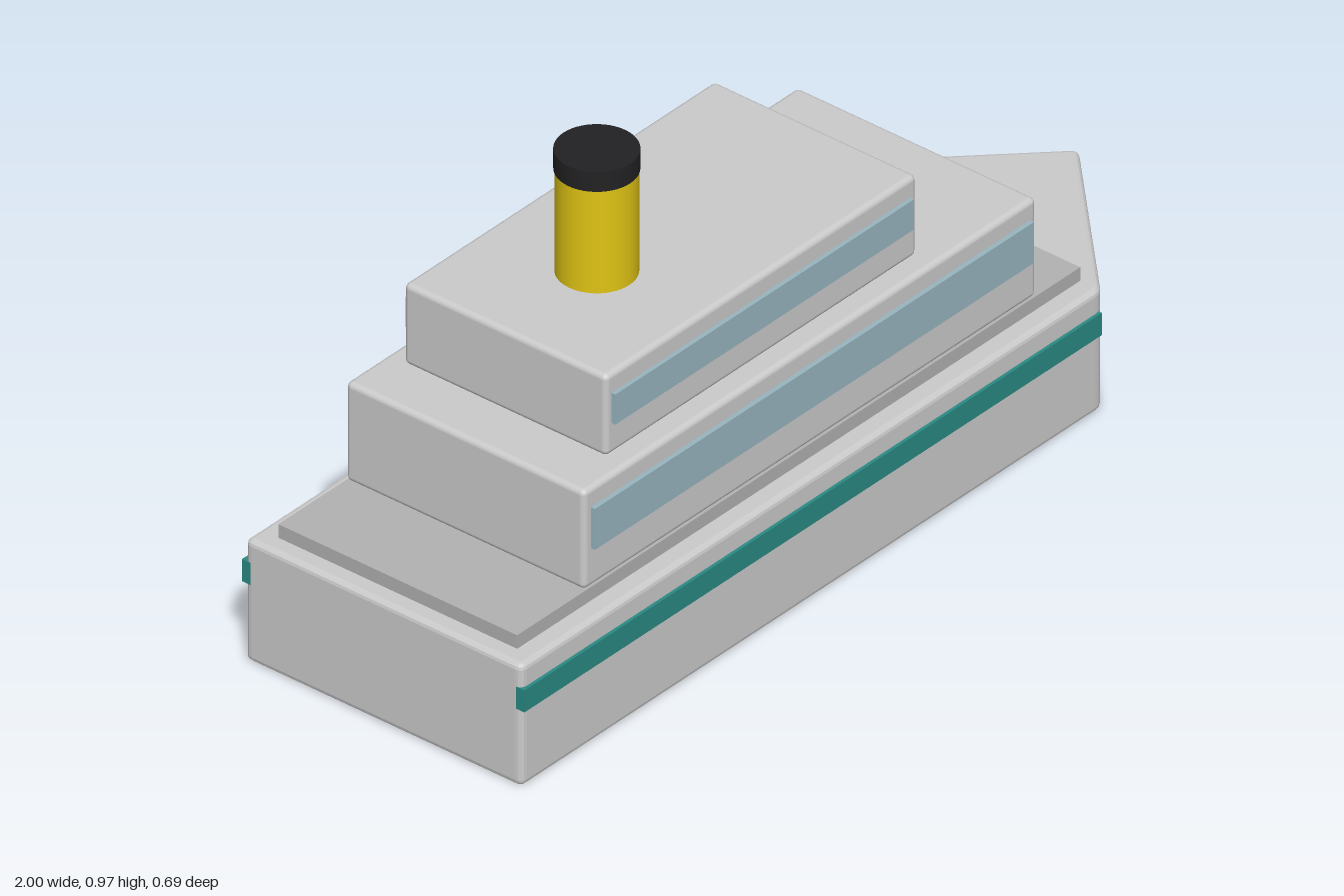
import * as THREE from 'three';
import { RoundedBoxGeometry } from 'three/addons/geometries/RoundedBoxGeometry.js';

const paint = (color) => new THREE.MeshStandardMaterial({ color });
const grey = paint(0xcccccc);
const deckGrey = paint(0xb2b2b2);
const teal = paint(0x2a8a84);
const glass = paint(0x98b6c0);
const yellow = paint(0xe0c414);
const black = paint(0x222224);

// Closed outline with softly rounded corners
function roundedOutline(points, r) {
  const shape = new THREE.Shape();
  const v = points.map(([x, y]) => new THREE.Vector2(x, y));
  v.forEach((p, i) => {
    const prev = v[(i + v.length - 1) % v.length];
    const next = v[(i + 1) % v.length];
    const a = prev.clone().sub(p).setLength(r).add(p);
    const b = next.clone().sub(p).setLength(r).add(p);
    if (i === 0) shape.moveTo(a.x, a.y);
    else shape.lineTo(a.x, a.y);
    shape.quadraticCurveTo(p.x, p.y, b.x, b.y);
  });
  shape.closePath();
  return shape;
}

export function createModel() {
  const ship = new THREE.Group();
  ship.name = 'cruiseShip';

  const add = (name, geometry, material, x = 0, y = 0, z = 0) => {
    const mesh = new THREE.Mesh(geometry, material);
    mesh.name = name;
    mesh.position.set(x, y, z);
    ship.add(mesh);
  };
  // Box given by its limits in x and y and its half width in z
  const block = (name, x0, x1, y0, y1, halfZ, material, radius) => {
    const size = [x1 - x0, y1 - y0, halfZ * 2];
    const geometry = radius ? new RoundedBoxGeometry(...size, 3, radius) : new THREE.BoxGeometry(...size);
    add(name, geometry, material, (x0 + x1) / 2, (y0 + y1) / 2, 0);
  };
  // Thin strip on both flanks, sunk slightly into the wall
  const strips = (name, x0, x1, y0, y1, outerZ, material) => {
    const depth = 0.02;
    for (const [side, s] of [['Front', 1], ['Back', -1]]) {
      add(name + side, new THREE.BoxGeometry(x1 - x0, y1 - y0, depth), material,
        (x0 + x1) / 2, (y0 + y1) / 2, s * (outerZ - depth / 2));
    }
  };

  // Hull with pointed bow, edges lightly bevelled
  const bevel = 0.012;
  const outline = roundedOutline(
    [[-1, -0.336], [0.668, -0.336], [1.003, 0], [0.668, 0.336], [-1, 0.336]], 0.016);
  const hull = new THREE.ExtrudeGeometry(outline, {
    depth: 0.27 - 2 * bevel, bevelSize: bevel, bevelThickness: bevel,
    bevelOffset: -bevel, bevelSegments: 3, curveSegments: 4,
  });
  hull.rotateX(-Math.PI / 2);
  add('hull', hull, grey, 0, bevel, 0);
  strips('hullStripe', -1, 0.663, 0.172, 0.221, 0.343, teal);

  // Deck plate and the two cabin storeys
  block('deck', -0.958, 0.663, 0.26, 0.3, 0.29, deckGrey);
  block('lowerCabin', -0.765, 0.537, 0.3, 0.52, 0.29, grey, 0.012);
  strips('lowerWindows', -0.746, 0.518, 0.387, 0.478, 0.3, glass);
  block('upperCabin', -0.65, 0.245, 0.52, 0.7, 0.246, grey, 0.012);
  strips('upperWindows', -0.634, 0.226, 0.59, 0.657, 0.255, glass);

  // Funnel and its dark cap
  add('funnel', new THREE.CylinderGeometry(0.079, 0.079, 0.235, 48), yellow, -0.385, 0.8125, 0);
  add('funnelCap', new THREE.CylinderGeometry(0.081, 0.081, 0.044, 48), black, -0.385, 0.949, 0);

  return ship;
}
